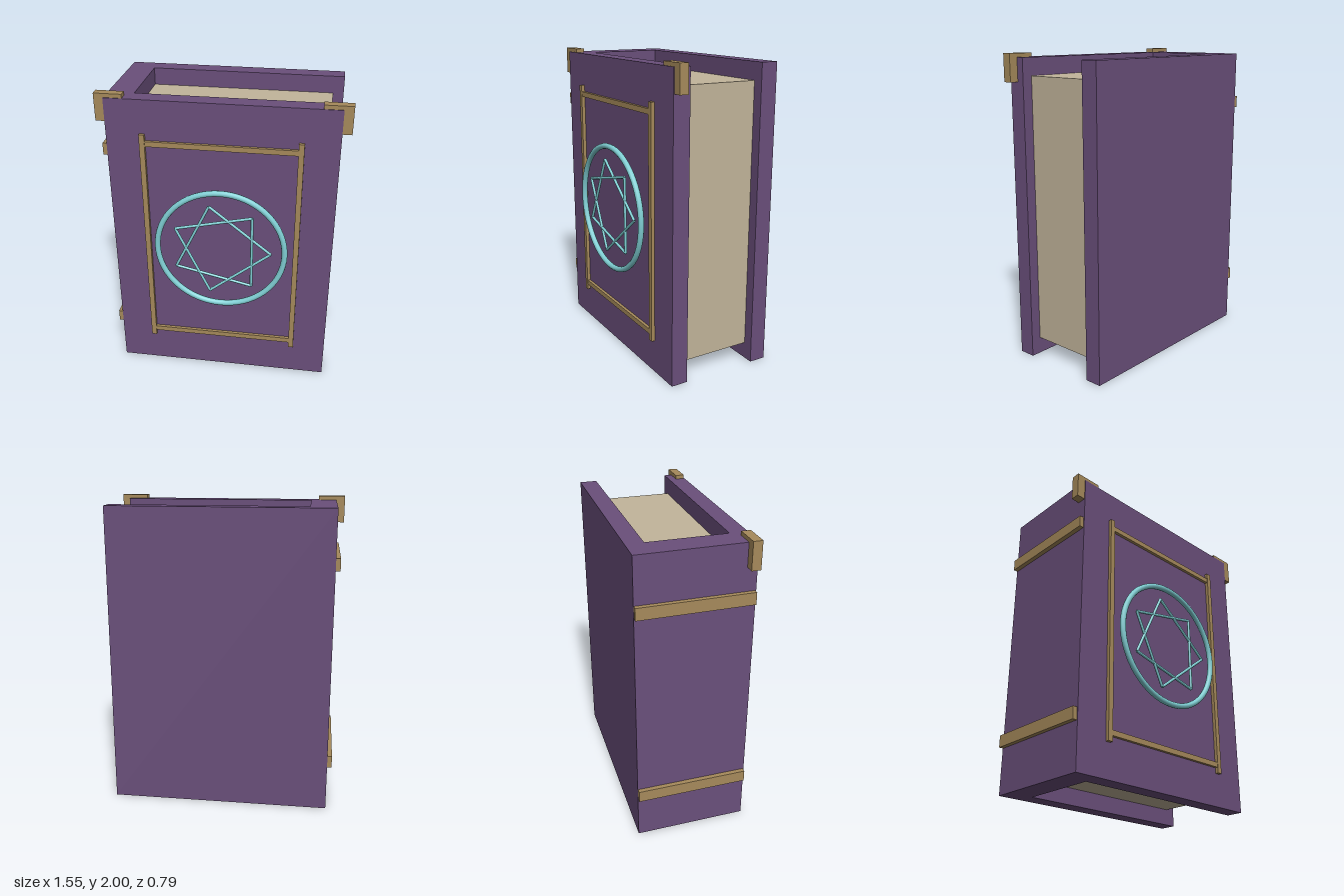
import * as THREE from 'three';

const mat = (name, color) => {
  const m = new THREE.MeshStandardMaterial({ color });
  m.name = name;
  return m;
};

export function createModel() {
  const purple = mat('purple leather', 0x6a4f7b);
  const paper = mat('paper', 0xc2b59b);
  const gold = mat('dull gold', 0xa68a5b);
  const cyan = mat('pale cyan', 0x7fcfd4);
  const book = new THREE.Group();
  book.name = 'book';

  // Box given by its extents on each axis
  const box = (name, material, [x0, x1], [y0, y1], [z0, z1]) => {
    const mesh = new THREE.Mesh(new THREE.BoxGeometry(x1 - x0, y1 - y0, z1 - z0), material);
    mesh.position.set((x0 + x1) / 2, (y0 + y1) / 2, (z0 + z1) / 2);
    mesh.name = name;
    book.add(mesh);
  };

  // Covers, spine and page block
  const H = [0, 1.975];
  box('frontCover', purple, [-0.717, 0.717], H, [0.22, 0.332]);
  box('backCover', purple, [-0.717, 0.717], H, [-0.396, -0.284]);
  box('spine', purple, [-0.717, -0.55], H, [-0.284, 0.22]);
  box('pages', paper, [-0.55, 0.648], [0.11, 1.862], [-0.284, 0.22]);

  // Raised bands across the spine
  for (const y of [0.338, 1.638]) {
    box('spineBand', gold, [-0.746, -0.717], [y - 0.039, y + 0.039], [-0.394, 0.326]);
  }

  // Corner guards and cover frame
  for (const s of [-1, 1]) {
    const span = (a, b) => (s > 0 ? [a, b] : [-b, -a]);
    box('cornerGuard', gold, span(0.6, 0.775), [1.825, 2], [0.269, 0.327]);
    box('frameUpright', gold, span(0.47, 0.504), [0.222, 1.758], [0.332, 0.355]);
  }
  for (const y of [0.277, 1.698]) {
    box('frameRail', gold, [-0.47, 0.47], [y - 0.017, y + 0.017], [0.332, 0.352]);
  }

  // Emblem: ring around a seven-pointed star
  const emblem = new THREE.Group();
  emblem.name = 'emblem';
  emblem.position.set(0, 0.99, 0.378);
  const ring = new THREE.Mesh(new THREE.TorusGeometry(0.417, 0.019, 10, 64), cyan);
  ring.name = 'ring';
  emblem.add(ring);

  const R = 0.328;
  const point = (k) => {
    const a = (k * Math.PI * 2) / 7;
    return new THREE.Vector3(R * Math.cos(a), R * Math.sin(a), 0);
  };
  const up = new THREE.Vector3(0, 1, 0);
  for (let k = 0; k < 7; k++) {
    const a = point(k);
    const dir = point(k + 2).sub(a);
    const rod = new THREE.Mesh(new THREE.CylinderGeometry(0.0095, 0.0095, dir.length(), 8), cyan);
    rod.position.copy(a).addScaledVector(dir, 0.5);
    rod.quaternion.setFromUnitVectors(up, dir.clone().normalize());
    rod.name = 'starRod';
    emblem.add(rod);
  }
  book.add(emblem);
  return book;
}
